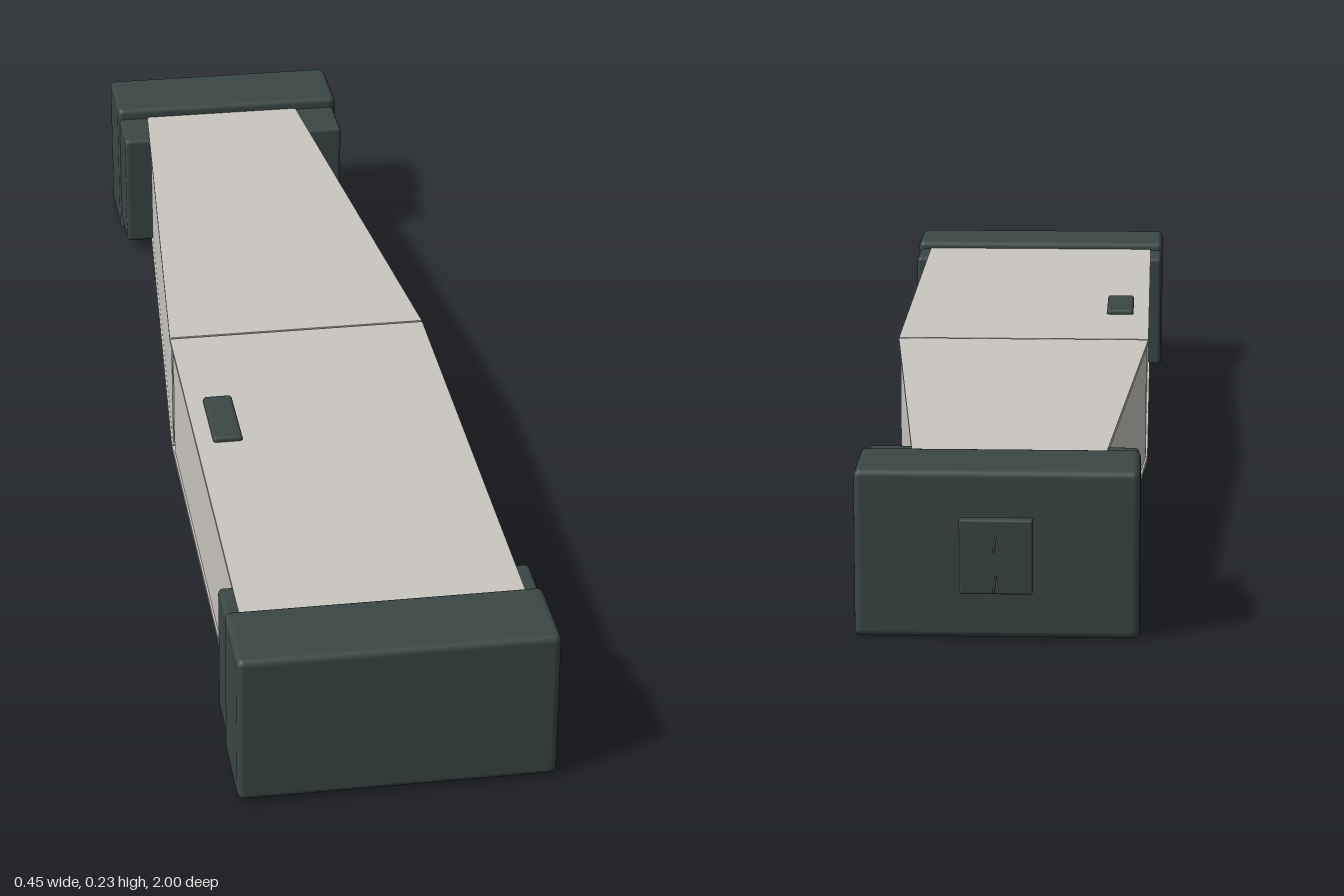
import * as THREE from 'three';
import { RoundedBoxGeometry } from 'three/addons/geometries/RoundedBoxGeometry.js';

export function createModel() {
  const model = new THREE.Group();
  const shellMat = new THREE.MeshStandardMaterial({ color: 0xcac7c2 });
  shellMat.name = 'light grey shell';
  const darkMat = new THREE.MeshStandardMaterial({ color: 0x3a4745 });
  darkMat.name = 'dark green grey';

  function add(name, geometry, material) {
    const mesh = new THREE.Mesh(geometry, material);
    mesh.name = name;
    model.add(mesh);
    return mesh;
  }

  // Box given by its limits on each axis; r > 0 rounds the edges
  function block(name, [x0, x1], [y0, y1], [z0, z1], material, r = 0) {
    const size = [x1 - x0, y1 - y0, z1 - z0];
    const geo = r ? new RoundedBoxGeometry(...size, 3, r) : new THREE.BoxGeometry(...size);
    geo.translate((x0 + x1) / 2, (y0 + y1) / 2, (z0 + z1) / 2);
    return add(name, geo, material);
  }

  // Plan outline in x and z, extruded between two heights
  function slab(name, outline, y0, y1) {
    const shape = new THREE.Shape(outline.map(([x, z]) => new THREE.Vector2(x, z)));
    const geo = new THREE.ExtrudeGeometry(shape, { depth: y1 - y0, bevelEnabled: false });
    geo.rotateX(Math.PI / 2).translate(0, y1, 0);
    return add(name, geo, shellMat);
  }

  // Straight front half and tapering rear half, inset by d, starting at the seam
  const frontOutline = (d, z) => [[-0.201 + d, z], [0.201 - d, z], [0.201 - d, 0.9], [-0.201 + d, 0.9]];
  const rearOutline = (d, z) => [[-0.136 + d, -0.88], [0.112 - d, -0.88], [0.201 - d, z], [-0.201 + d, z]];

  slab('frontBody', frontOutline(0.003, 0.068), 0.028, 0.214);
  slab('rearBody', rearOutline(0.003, 0.045), 0.028, 0.214);
  for (const [name, y0, y1] of [['bottom', 0.021, 0.028], ['top', 0.214, 0.221]]) {
    slab(name + 'FrontPlate', frontOutline(0, 0.053), y0, y1);
    slab(name + 'RearPlate', rearOutline(0, 0.049), y0, y1);
  }

  // Joint between the halves, with a post in each side groove
  block('jointCore', [-0.183, 0.183], [0.026, 0.216], [0.044, 0.069], shellMat);
  for (const side of [-1, 1]) {
    const post = add('jointPost', new THREE.CylinderGeometry(0.01, 0.01, 0.17, 16), shellMat);
    post.position.set(side * 0.188, 0.121, 0.0565);
  }

  // Front end cap and its side collar
  block('frontCap', [-0.223, 0.223], [0.006, 0.233], [0.868, 1], darkMat, 0.01);
  block('frontCollar', [-0.221, 0.221], [0.023, 0.219], [0.785, 0.89], darkMat, 0.007);

  // Rear end cap and its side collar
  block('rearCap', [-0.195, 0.194], [0.002, 0.237], [-0.912, -0.778], darkMat, 0.01);
  block('rearCollar', [-0.192, 0.19], [0.023, 0.219], [-0.8, -0.688], darkMat, 0.007);

  // Rear socket plate with two fine pins
  block('socketPlate', [-0.05, 0.05], [0.068, 0.172], [-0.927, -0.905], darkMat, 0.003);
  for (const y of [0.092, 0.148]) {
    block('pin', [-0.0015, 0.0015], [y - 0.0015, y + 0.0015], [-1, -0.92], darkMat);
  }

  // Slide switch on top
  block('switch', [-0.175, -0.131], [0.21, 0.229], [0.257, 0.387], darkMat, 0.005);

  return model;
}
